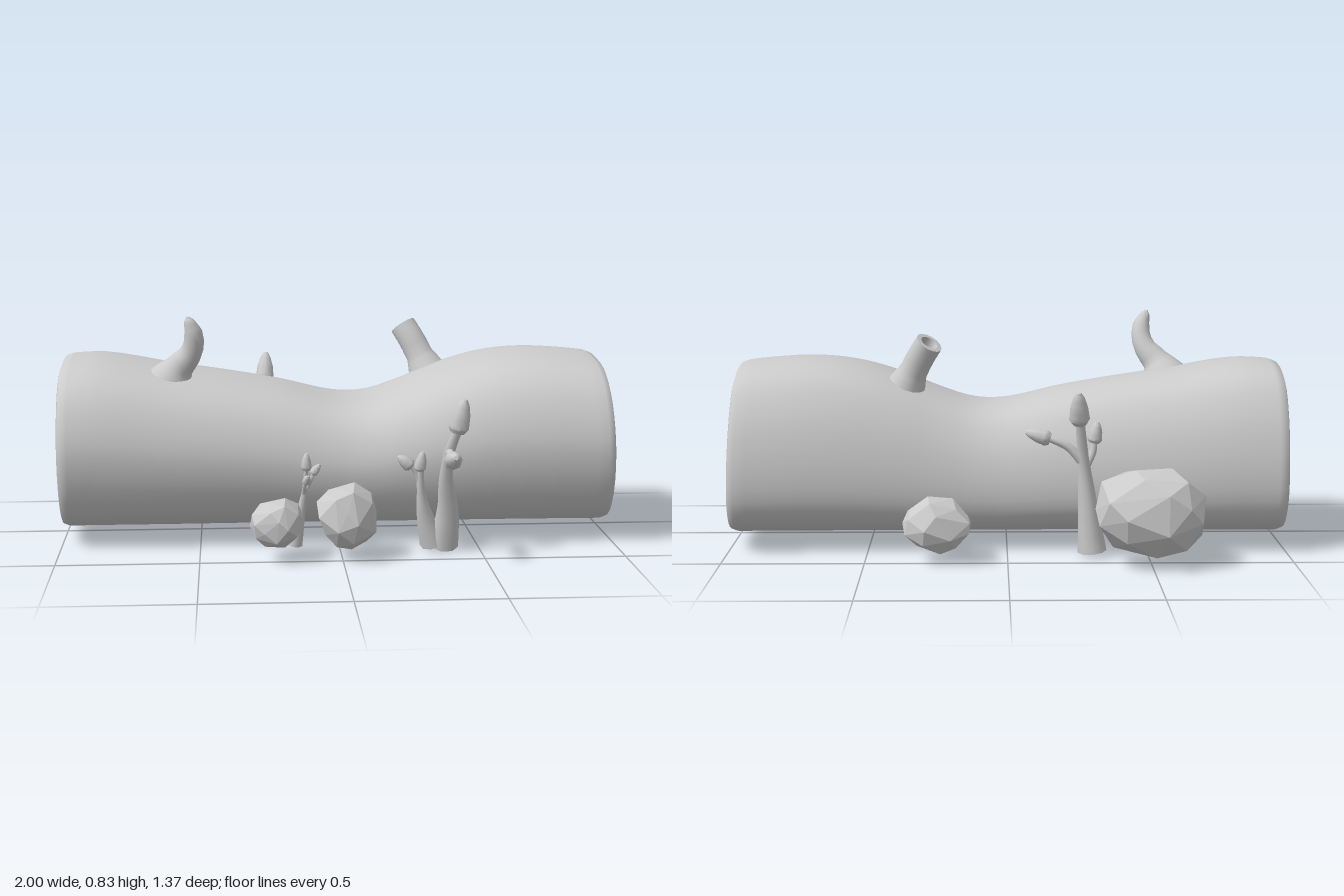
import * as THREE from 'three';
import { toCreasedNormals } from 'three/addons/utils/BufferGeometryUtils.js';
import { ConvexGeometry } from 'three/addons/geometries/ConvexGeometry.js';

const grey = new THREE.MeshStandardMaterial({ color: 0xcccccc });
const stone = new THREE.MeshStandardMaterial({ color: 0xcccccc, flatShading: true });
const vec = (p) => new THREE.Vector3(...p);
const lerp = THREE.MathUtils.lerp;

// Skin a list of equal closed rings with quads
function skin(rows, joinEnds = false) {
  const n = rows[0].length, index = [];
  const last = joinEnds ? rows.length : rows.length - 1;
  for (let i = 0; i < last; i++) {
    const a = i * n, b = ((i + 1) % rows.length) * n;
    for (let j = 0; j < n; j++) {
      const k = (j + 1) % n;
      index.push(a + j, b + j, b + k, a + j, b + k, a + k);
    }
  }
  const geo = new THREE.BufferGeometry().setFromPoints(rows.flat());
  geo.setIndex(index);
  geo.computeVertexNormals();
  return geo;
}

// Sweep a round section along a path; profile is a list of [t, radius]
function sweep(points, profile, sides = 10) {
  const N = 100;
  const curve = new THREE.CatmullRomCurve3(points.map(vec));
  const frames = curve.computeFrenetFrames(N);
  const steps = [];
  profile.forEach(([t, r], i) => {
    const next = profile[i + 1];
    const cuts = next && next[0] !== t ? 3 : 1;
    for (let k = 0; k < cuts; k++) {
      steps.push(k ? [lerp(t, next[0], k / cuts), lerp(r, next[1], k / cuts)] : [t, r]);
    }
  });
  const rows = steps.map(([t, r]) => {
    const f = Math.round(t * N), c = curve.getPointAt(f / N);
    return Array.from({ length: sides }, (_, j) => {
      const a = (j / sides) * Math.PI * 2;
      return c.clone()
        .addScaledVector(frames.normals[f], r * Math.cos(a))
        .addScaledVector(frames.binormals[f], -r * Math.sin(a));
    });
  });
  return toCreasedNormals(skin(rows), 0.9);
}

function add(parent, name, geo, mat = grey) {
  const mesh = new THREE.Mesh(geo, mat);
  mesh.name = name;
  parent.add(mesh);
  return mesh;
}

// Hollow trunk: outer skin, rounded rims and an inner bore narrowing at the waist
function logGeometry() {
  const section = new THREE.CatmullRomCurve3([
    [0.385, 0.35], [0.36, 0.48], [0.3, 0.58], [0.2, 0.645], [0.05, 0.67], [-0.06, 0.675],
    [-0.17, 0.66], [-0.27, 0.615], [-0.335, 0.53], [-0.375, 0.43], [-0.396, 0.3], [-0.385, 0.18],
    [-0.335, 0.1], [-0.24, 0.058], [-0.05, 0.04], [0.13, 0.048], [0.26, 0.09], [0.345, 0.19],
  ].map(([z, y]) => new THREE.Vector3(0, y, z)), true).getPoints(48).slice(0, 48);
  // Each station: x, top height, front depth
  const spine = new THREE.CatmullRomCurve3([
    [-1, 0.662, 0.375], [-0.85, 0.667, 0.372], [-0.6, 0.625, 0.362], [-0.4, 0.595, 0.35],
    [-0.2, 0.56, 0.337], [0, 0.515, 0.33], [0.12, 0.516, 0.333], [0.25, 0.555, 0.342],
    [0.4, 0.615, 0.355], [0.57, 0.662, 0.367], [0.74, 0.677, 0.375], [1, 0.66, 0.38],
  ].map(vec));
  const ring = (t, insetZ, insetY, shift = 0) => {
    const s = spine.getPoint(t);
    return section.map((p) => {
      const v = (p.y - 0.04) / 0.635, u = (p.z + 0.396) / 0.781;
      const lean = s.x > 0 ? 0.022 * v * s.x : 0;
      return new THREE.Vector3(s.x + shift - lean,
        lerp(0.045 + insetY, s.y - insetY, v),
        lerp(-s.z - 0.025 + insetZ, s.z - insetZ, u));
    });
  };
  const rows = [], N = 44;
  rows.push(ring(0, 0.008, 0.008, 0.004));
  for (let i = 0; i <= N; i++) {
    const end = i === 0 ? 0.025 : i === N ? -0.025 : 0;
    rows.push(ring(i / N, 0, 0, end));
  }
  rows.push(ring(1, 0.008, 0.008, -0.004), ring(1, 0.02, 0.02), ring(1, 0.031, 0.031, -0.006));
  for (let i = N; i >= 0; i--) {
    const g = Math.cos((spine.getPoint(i / N).x - 0.03) * Math.PI / 2) ** 2;
    const end = i === 0 ? 0.025 : i === N ? -0.025 : 0;
    rows.push(ring(i / N, 0.037 + 0.083 * g, 0.037 + 0.048 * g, end));
  }
  rows.push(ring(0, 0.031, 0.031, 0.006), ring(0, 0.02, 0.02));
  return skin(rows, true);
}

// Faceted boulder fitted to a box
function rock(parent, name, center, size, seed) {
  let s = seed;
  const rand = () => (s = (s * 16807) % 2147483647) / 2147483647;
  const pts = [], count = 30;
  for (let i = 0; i < count; i++) {
    const y = 1 - (2 * i + 1) / count, r = Math.sqrt(1 - y * y), a = i * 2.39996 + rand() * 0.6;
    pts.push(new THREE.Vector3(r * Math.cos(a), y, r * Math.sin(a)).multiplyScalar(0.92 + rand() * 0.14));
  }
  const geo = new ConvexGeometry(pts);
  geo.center();
  geo.computeBoundingBox();
  const d = geo.boundingBox.getSize(new THREE.Vector3());
  geo.scale(size[0] / d.x, size[1] / d.y, size[2] / d.z);
  add(parent, name, geo, stone).position.set(...center);
}

// Stem that tapers from base to tip, with a flat foot
function stem(parent, points, r0, r1) {
  add(parent, 'stem', sweep(points, [[0, 0], [0, r0], [0.35, lerp(r0, r1, 0.55)], [0.7, r1], [1, r1 * 0.8]], 9));
}

// Blunt bud between two points
function bud(parent, from, to, r) {
  add(parent, 'bud', sweep([from, to], [[0, 0], [0.02, 0.75 * r], [0.16, r], [0.55, 0.85 * r],
    [0.85, 0.55 * r], [1, 0.25 * r], [1, 0]], 8));
}

function plant(parent, name, stems, buds) {
  const g = new THREE.Group();
  g.name = name;
  stems.forEach((s) => stem(g, ...s));
  buds.forEach((b) => bud(g, ...b));
  parent.add(g);
}

export function createModel() {
  const model = new THREE.Group();
  model.name = 'hollowLog';
  add(model, 'trunk', logGeometry());

  // Curled spike and hollow stump growing from the top
  add(model, 'curledSpike', sweep(
    [[-0.61, 0.56, 0.11], [-0.575, 0.63, 0.13], [-0.528, 0.69, 0.15], [-0.515, 0.75, 0.17], [-0.538, 0.825, 0.185]],
    [[0, 0.1], [0.12, 0.085], [0.3, 0.052], [0.5, 0.042], [0.8, 0.033], [0.95, 0.018], [1, 0.006], [1, 0]], 14));
  add(model, 'hollowStump', sweep(
    [[0.39, 0.52, -0.14], [0.345, 0.62, -0.165], [0.31, 0.69, -0.185], [0.278, 0.742, -0.208]],
    [[0, 0.1], [0.3, 0.068], [0.5, 0.052], [1, 0.05], [1, 0.033], [0.75, 0.03], [0.75, 0]], 14));

  // Boulders along both sides
  rock(model, 'frontRockSmall', [-0.23, 0.135, 0.47], [0.19, 0.175, 0.195], 11);
  rock(model, 'frontRock', [0.015, 0.155, 0.463], [0.21, 0.235, 0.22], 57);
  rock(model, 'backRockLarge', [-0.49, 0.188, -0.54], [0.38, 0.3, 0.29], 23);
  rock(model, 'backRockSmall', [0.248, 0.133, -0.465], [0.24, 0.2, 0.21], 91);

  // Budding sprouts
  plant(model, 'frontSprout', [
    [[[0.37, 0.02, 0.345], [0.38, 0.15, 0.395], [0.365, 0.28, 0.45], [0.368, 0.38, 0.495], [0.395, 0.47, 0.525]], 0.056, 0.02],
    [[[0.367, 0.35, 0.485], [0.367, 0.385, 0.52], [0.367, 0.375, 0.6]], 0.016, 0.014],
    [[[0.335, 0.025, 0.345], [0.3, 0.13, 0.375], [0.283, 0.22, 0.4], [0.278, 0.31, 0.415]], 0.05, 0.015],
    [[[0.282, 0.25, 0.405], [0.26, 0.3, 0.41], [0.24, 0.325, 0.415]], 0.012, 0.01],
  ], [
    [[0.393, 0.455, 0.522], [0.415, 0.575, 0.542], 0.036],
    [[0.367, 0.37, 0.59], [0.367, 0.4, 0.685], 0.032],
    [[0.275, 0.3, 0.41], [0.285, 0.37, 0.425], 0.022],
    [[0.245, 0.315, 0.412], [0.2, 0.355, 0.42], 0.024],
  ]);
  plant(model, 'smallSprout', [
    [[[-0.165, 0.03, 0.36], [-0.145, 0.14, 0.385], [-0.13, 0.24, 0.41], [-0.125, 0.32, 0.43]], 0.03, 0.009],
    [[[-0.132, 0.23, 0.408], [-0.11, 0.27, 0.415], [-0.1, 0.3, 0.42]], 0.009, 0.007],
    [[[-0.134, 0.22, 0.405], [-0.13, 0.26, 0.435], [-0.125, 0.28, 0.455]], 0.008, 0.007],
  ], [
    [[-0.125, 0.31, 0.428], [-0.125, 0.372, 0.435], 0.019],
    [[-0.105, 0.295, 0.42], [-0.077, 0.33, 0.424], 0.016],
    [[-0.127, 0.27, 0.45], [-0.122, 0.3, 0.478], 0.016],
  ]);
  plant(model, 'backSprout', [
    [[[-0.3, 0.02, -0.39], [-0.285, 0.17, -0.402], [-0.268, 0.33, -0.416], [-0.25, 0.5, -0.46]], 0.052, 0.02],
    [[[-0.268, 0.34, -0.418], [-0.21, 0.4, -0.42], [-0.14, 0.43, -0.418]], 0.018, 0.014],
    [[[-0.27, 0.32, -0.415], [-0.3, 0.38, -0.405], [-0.305, 0.43, -0.402]], 0.016, 0.012],
  ], [
    [[-0.25, 0.485, -0.455], [-0.243, 0.6, -0.503], 0.036],
    [[-0.15, 0.425, -0.418], [-0.065, 0.45, -0.415], 0.028],
    [[-0.304, 0.41, -0.403], [-0.315, 0.485, -0.41], 0.026],
  ]);
  return model;
}
